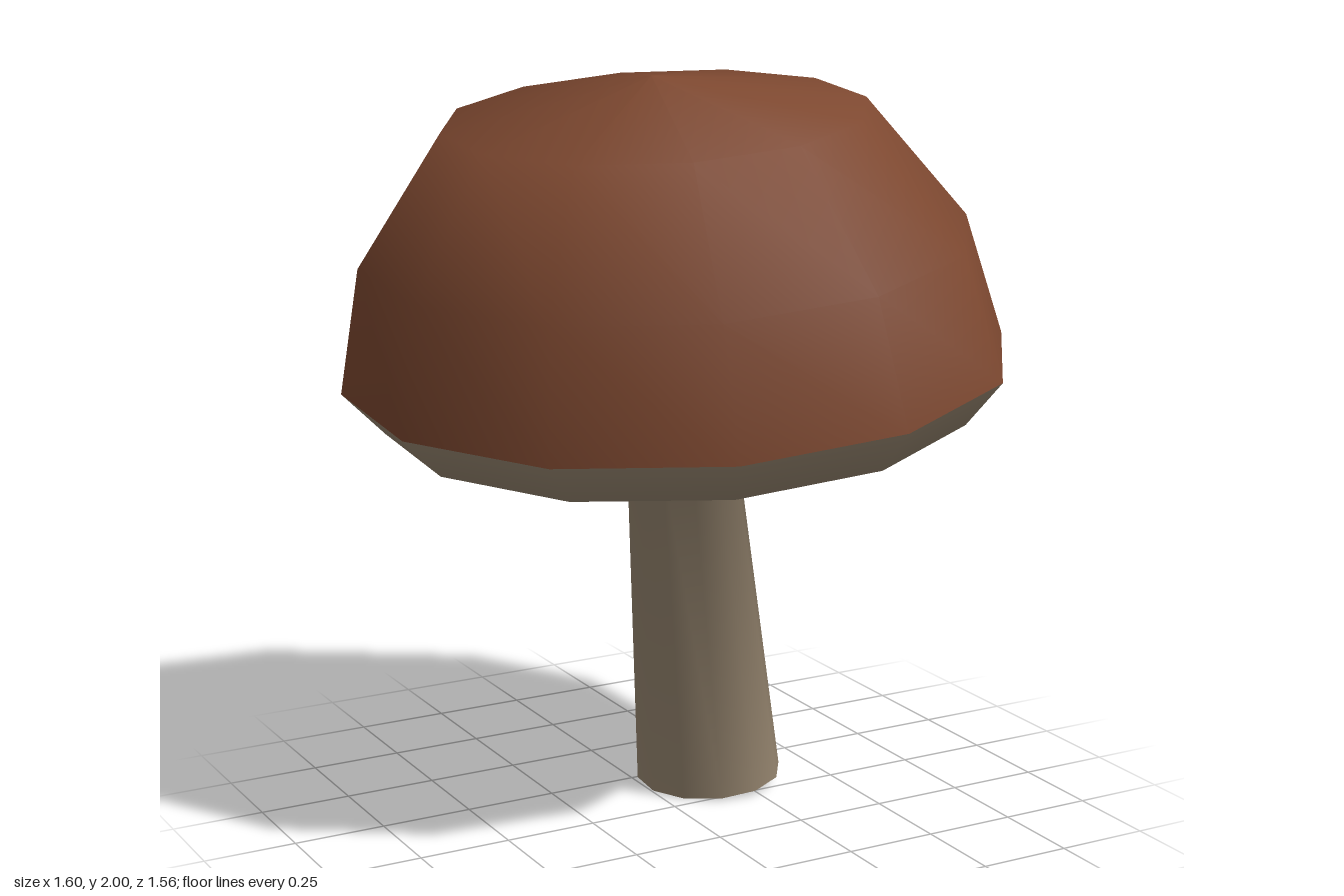
import * as THREE from 'three';

const SIDES = 12;

// Leaning frame shared by every ring: tilted ring plane plus a slanted axis.
const lean = new THREE.Matrix4().set(
  1, -0.155, 0, 0.19,
  0.104, 1, -0.093, 0,
  0.163, 0.122, 0.928, -0.146,
  0, 0, 0, 1
);

// Twelve-sided turned part from [radius, height] pairs, listed bottom to top.
function turned(name, profile, material) {
  const points = profile.map(([r, y]) => new THREE.Vector2(r, y));
  const geometry = new THREE.LatheGeometry(points, SIDES, Math.PI / SIDES);
  geometry.applyMatrix4(lean);
  const mesh = new THREE.Mesh(geometry, material);
  mesh.name = name;
  return mesh;
}

export function createModel() {
  const capBrown = new THREE.MeshStandardMaterial({ color: 0x7d4830 });
  capBrown.name = 'cap brown';
  const stemTan = new THREE.MeshStandardMaterial({ color: 0xa39179 });
  stemTan.name = 'stem tan';

  const group = new THREE.Group();
  group.name = 'mushroom';

  // Closed foot, tapering stem and the flared underside in one smooth skin
  group.add(turned('stemAndUnderside', [
    [0, 0.03], [0.19, 0.03], [0.14, 1.0], [0.735, 1.12], [0.83, 1.24],
  ], stemTan));

  // Domed cap
  group.add(turned('cap', [
    [0.83, 1.24], [0.75, 1.57], [0.515, 1.9], [0, 2.0],
  ], capBrown));

  return group;
}
